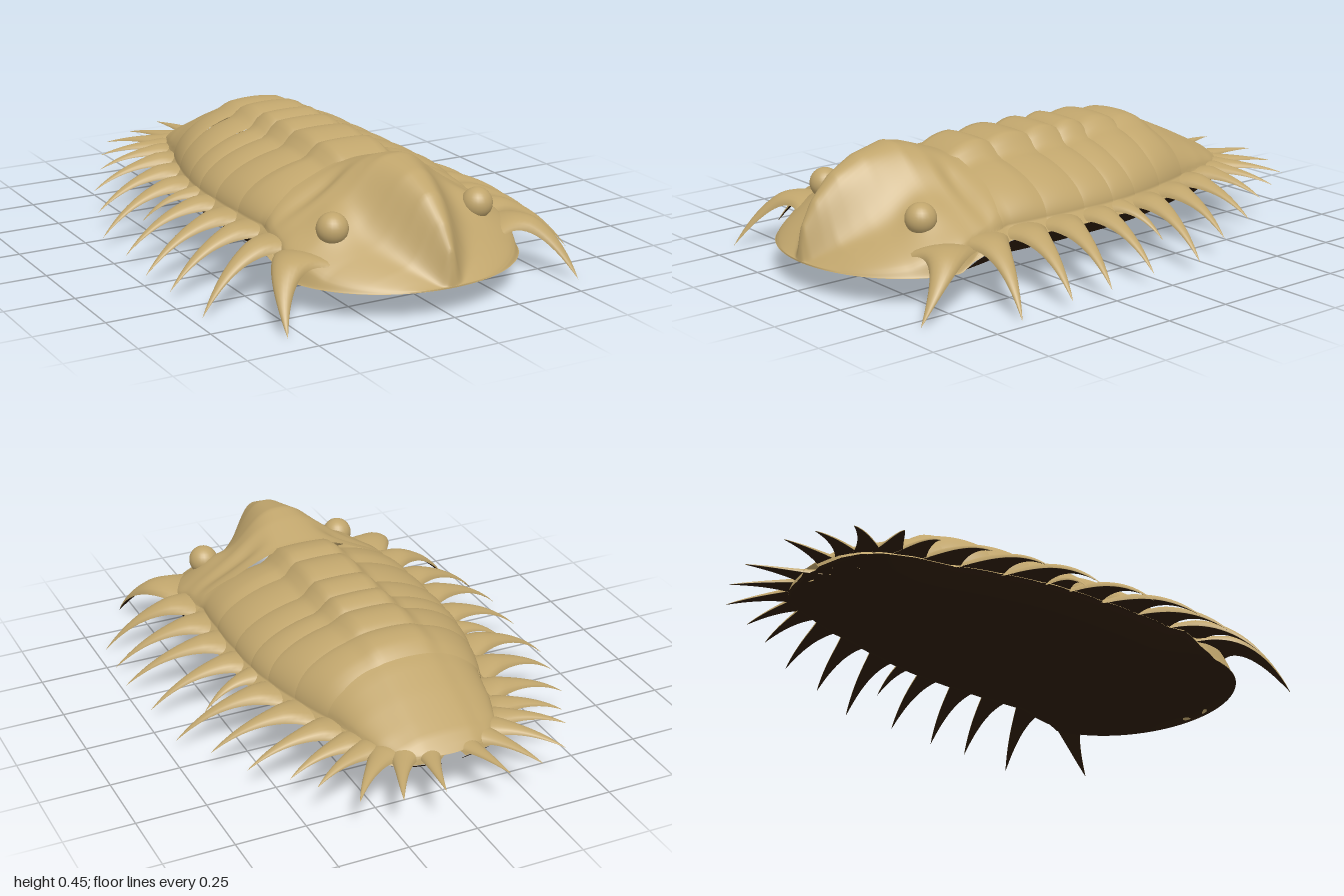
import * as THREE from 'three';

const shellMat = new THREE.MeshStandardMaterial({ color: 0xc0a56c, side: THREE.DoubleSide });
shellMat.name = 'tan shell';
const bellyMat = new THREE.MeshStandardMaterial({ color: 0x2c1c0b });
bellyMat.name = 'dark underside';

// Interpolates a table of [z, value] pairs listed front to back
const table = (pairs) => (z) => {
  if (z >= pairs[0][0]) return pairs[0][1];
  for (let i = 1; i < pairs.length; i++) {
    const [z0, v0] = pairs[i - 1], [z1, v1] = pairs[i];
    if (z >= z1) return THREE.MathUtils.lerp(v0, v1, (z - z0) / (z1 - z0));
  }
  return pairs[pairs.length - 1][1];
};
const { smoothstep: smooth, lerp } = THREE.MathUtils;

// Outline half width, edge height, margin width and crown height along the body
const rearWidth = table([[0.62, 0.44], [0.52, 0.42], [0.42, 0.385], [0.25, 0.395], [0.08, 0.395], [-0.05, 0.39],
  [-0.16, 0.375], [-0.31, 0.34], [-0.47, 0.29], [-0.6, 0.265], [-0.7, 0.235], [-0.76, 0.19], [-0.795, 0.13], [-0.815, 0.03]]);
const width = (z) => z > 0.62 ? 0.44 * Math.sqrt(Math.max(0, 1 - ((z - 0.62) / 0.37) ** 2)) : rearWidth(z);
const edge = table([[0.65, 0.1], [0.58, 0.14], [0.5, 0.195], [0.42, 0.205], [-0.6, 0.2], [-0.815, 0.18]]);
const apron = table([[0.6, 0], [0.48, 0.04], [-0.6, 0.04], [-0.815, 0.02]]);
const crown = table([[0.45, 0.385], [0.3, 0.41], [0.1, 0.41], [-0.1, 0.41], [-0.3, 0.405], [-0.42, 0.385],
  [-0.5, 0.36], [-0.61, 0.31], [-0.7, 0.265], [-0.76, 0.235], [-0.79, 0.21], [-0.815, 0.185]]);
const marginDrop = 0.85;

// Head: shoulder above the rim, cheek crown, central keel height and half width
const shoulder = table([[0.95, 0.105], [0.8, 0.13], [0.7, 0.17], [0.6, 0.195], [0.42, 0.205]]);
const cheek = table([[0.99, 0.1], [0.95, 0.13], [0.9, 0.165], [0.8, 0.22], [0.7, 0.265], [0.55, 0.325], [0.42, 0.355]]);
const keel = table([[0.99, 0.1], [0.985, 0.15], [0.975, 0.22], [0.93, 0.3], [0.85, 0.38], [0.75, 0.43],
  [0.62, 0.455], [0.55, 0.44], [0.42, 0.395]]);
const keelWidth = table([[0.99, 0.015], [0.97, 0.03], [0.9, 0.07], [0.8, 0.11], [0.65, 0.16], [0.55, 0.2], [0.42, 0.2]]);

// Smooth surface through rows of points
function loft(name, rows, material) {
  const cols = rows[0].length, index = [];
  for (let i = 0; i < rows.length - 1; i++)
    for (let j = 0; j < cols - 1; j++) {
      const a = i * cols + j, b = a + 1, c = a + cols, d = c + 1;
      index.push(a, b, c, b, d, c);
    }
  const geo = new THREE.BufferGeometry().setFromPoints(rows.flat());
  geo.setIndex(index);
  geo.computeVertexNormals();
  const mesh = new THREE.Mesh(geo, material);
  mesh.name = name;
  return mesh;
}

const V = (x, y, z) => new THREE.Vector3(x, y, z);
const range = (n, f) => Array.from({ length: n + 1 }, (_, i) => f(i / n));

// Cross-section of the back at z, with its thin drooping margin
function section(z, heightAt, swell = 0, n = 56) {
  const w = width(z) * (1 + swell), e = edge(z), a = apron(z);
  const row = range(n, (t) => {
    const u = Math.sin((t * 2 - 1) * Math.PI / 2);
    return V(u * w, heightAt(u, u * w, z), z);
  });
  return [V(-w - a, e - marginDrop * a, z), ...row, V(w + a, e - marginDrop * a, z)];
}

function headHeight(u, x, z) {
  const e = edge(z), s = Math.max(e, shoulder(z)), k = Math.max(s, cheek(z)), ax = Math.abs(x);
  const front = smooth(z, 0.42, 0.62);
  const inner = Math.min(1, Math.abs(u) / lerp(1, 0.94, front));
  const dome = Math.pow(1 - Math.pow(inner, 2.1), lerp(0.53, 0.75, front));
  const base = e + (s - e) * smooth(1 - Math.abs(u), 0, 0.06) + (k - s) * dome;
  const ridge = Math.max(0, keel(z) - k) * Math.exp(-Math.pow(ax / keelWidth(z), 2.6));
  const mound = 0.03 * Math.exp(-((ax - 0.26) ** 2 + (z - 0.66) ** 2) / 0.005);
  const furrow = 0.022 * dome * smooth(ax, 0.08, 0.2) * Math.exp(-(((z - 0.5) / 0.03) ** 2));
  return base + ridge + mound - furrow;
}

// Back height: side lobes plus a raised central lobe, with a flat border of the given share
const backHeight = (bump, lobe, border = 0) => (u, x, z) => {
  const e = edge(z), inner = Math.min(1, Math.abs(u) / (1 - border));
  const arch = Math.pow(1 - Math.pow(inner, 2.1), 0.53);
  const axis = 1 - smooth(Math.abs(x), 0.085, 0.15);
  return e + (crown(z) - lobe - e + bump) * arch + axis * (lobe + 0.4 * bump);
};

// Curved, tapering spine with a flared base, rounded top and flat underside
function spine(name, base, control, tip, w, flare) {
  const curve = new THREE.QuadraticBezierCurve3(base, control, tip);
  const top = [], under = [];
  range(18, (t) => {
    const p = curve.getPoint(t), T = curve.getTangent(t);
    const S = V(0, 1, 0).cross(T).normalize(), N = T.clone().cross(S);
    const half = w * Math.pow(1 - t, 0.9) + flare * Math.pow(1 - t, 4);
    const h = Math.min(0.036, half * 0.65);
    const at = (a) => p.clone().addScaledVector(S, Math.cos(a) * half).addScaledVector(N, Math.sin(a) * h);
    top.push(range(10, (k) => at(k * Math.PI)));
    under.push([at(Math.PI), at(0)]);
  });
  const group = new THREE.Group();
  group.name = name;
  group.add(loft('spineTop', top, shellMat), loft('spineUnderside', under, bellyMat));
  // Keep the dark face just clear of the open tan arch
  group.children[1].position.y = -0.001;
  return group;
}

export function createModel() {
  const model = new THREE.Group();
  model.name = 'trilobite';

  // Head shield, rows packed toward the steep front
  model.add(loft('headShield', range(64, (t) =>
    section(0.41 + 0.58 * Math.cos(t * Math.PI / 2), headHeight, 0, 96)), shellMat));

  // Eyes
  for (const side of [1, -1]) {
    const eye = new THREE.Mesh(new THREE.SphereGeometry(0.054, 24, 16), shellMat);
    eye.name = side > 0 ? 'leftEye' : 'rightEye';
    eye.position.set(side * 0.28, 0.26, 0.695);
    model.add(eye);
  }

  // Overlapping body segments
  const joints = [0.43, 0.26, 0.09, -0.045, -0.16, -0.31, -0.46];
  for (let i = 0; i < joints.length - 1; i++) {
    const front = joints[i] + 0.012, back = joints[i + 1] - 0.008;
    const lobe = [0.04, 0.045, 0.045, 0.04, 0.025, 0.01][i];
    model.add(loft('bodySegment' + (i + 1), range(14, (s) => {
      const b = Math.pow(Math.sin(Math.PI * (0.04 + 0.88 * s)), 0.6);
      return section(lerp(front, back, s), backHeight(0.028 * b - 0.012, lobe), 0.025 * b);
    }), shellMat));
  }

  // Tail shield
  model.add(loft('tailShield', range(28, (s) =>
    section(-0.44 - 0.375 * Math.sin(s * Math.PI / 2), backHeight(0, 0.006, 0.1 * s))), shellMat));

  // Underside: short side wall and a shallow hollow
  const floor = table([[0.9, 0.1], [0.5, 0.105], [-0.55, 0.112], [-0.7, 0.145], [-0.815, 0.155]]);
  const profile = [[0.96, 0], [0.85, 0.002], [0.7, 0.018], [0.35, 0.03], [0, 0.034],
    [-0.35, 0.03], [-0.7, 0.018], [-0.85, 0.002], [-0.96, 0]];
  model.add(loft('underside', range(70, (t) => {
    const z = 0.0875 + 0.9025 * Math.cos(t * Math.PI);
    const w = width(z), a = apron(z), e = edge(z) - marginDrop * a - 0.002;
    const f = Math.min(floor(z), e), dish = Math.min(1, w / 0.25);
    return [V(w + a, e, z), ...profile.map(([u, y]) => V(u * w, f + y * dish, z)), V(-w - a, e, z)];
  }), bellyMat));

  // Spines: base x, base z, tip x, tip y, tip z, half width, base flare
  const spines = [
    [0.37, 0.52, 0.715, 0.005, 0.62, 0.06, 0.05],
    [0.36, 0.355, 0.74, 0.035, 0.43, 0.056, 0.06],
    [0.36, 0.20, 0.755, 0.045, 0.275, 0.054, 0.06],
    [0.36, 0.045, 0.735, 0.05, 0.07, 0.05, 0.05],
    [0.36, -0.065, 0.595, 0.1, -0.1, 0.04, 0.035],
    [0.35, -0.20, 0.725, 0.045, -0.15, 0.05, 0.05],
    [0.31, -0.355, 0.665, 0.08, -0.325, 0.05, 0.055],
    [0.26, -0.495, 0.605, 0.1, -0.505, 0.046, 0.055],
    [0.23, -0.6, 0.515, 0.13, -0.655, 0.044, 0.045],
    [0.2, -0.66, 0.465, 0.15, -0.765, 0.043, 0.04],
    [0.17, -0.695, 0.38, 0.155, -0.905, 0.043, 0.04],
    [0.12, -0.715, 0.255, 0.165, -0.97, 0.043, 0.04],
    [0.05, -0.72, 0.118, 0.18, -1.0, 0.043, 0.035],
  ];
  for (const side of [1, -1]) {
    const label = side > 0 ? 'left' : 'right';
    model.add(spine(label + 'CheekSpine', V(side * 0.34, 0.14, 0.665), V(side * 0.51, 0.23, 0.72),
      V(side * 0.558, 0.003, 0.905), 0.088, 0.06));
    spines.forEach(([bx, bz, tx, ty, tz, w, flare], i) => {
      const rise = 0.188 + 0.022 * Math.min(1, bx / 0.36);
      const control = V(side * (bx + 0.55 * (tx - bx)), rise, bz + 0.4 * (tz - bz));
      model.add(spine(label + 'Spine' + (i + 1), V(side * bx, 0.165, bz), control, V(side * tx, ty, tz), w, flare));
    });
  }
  return model;
}
